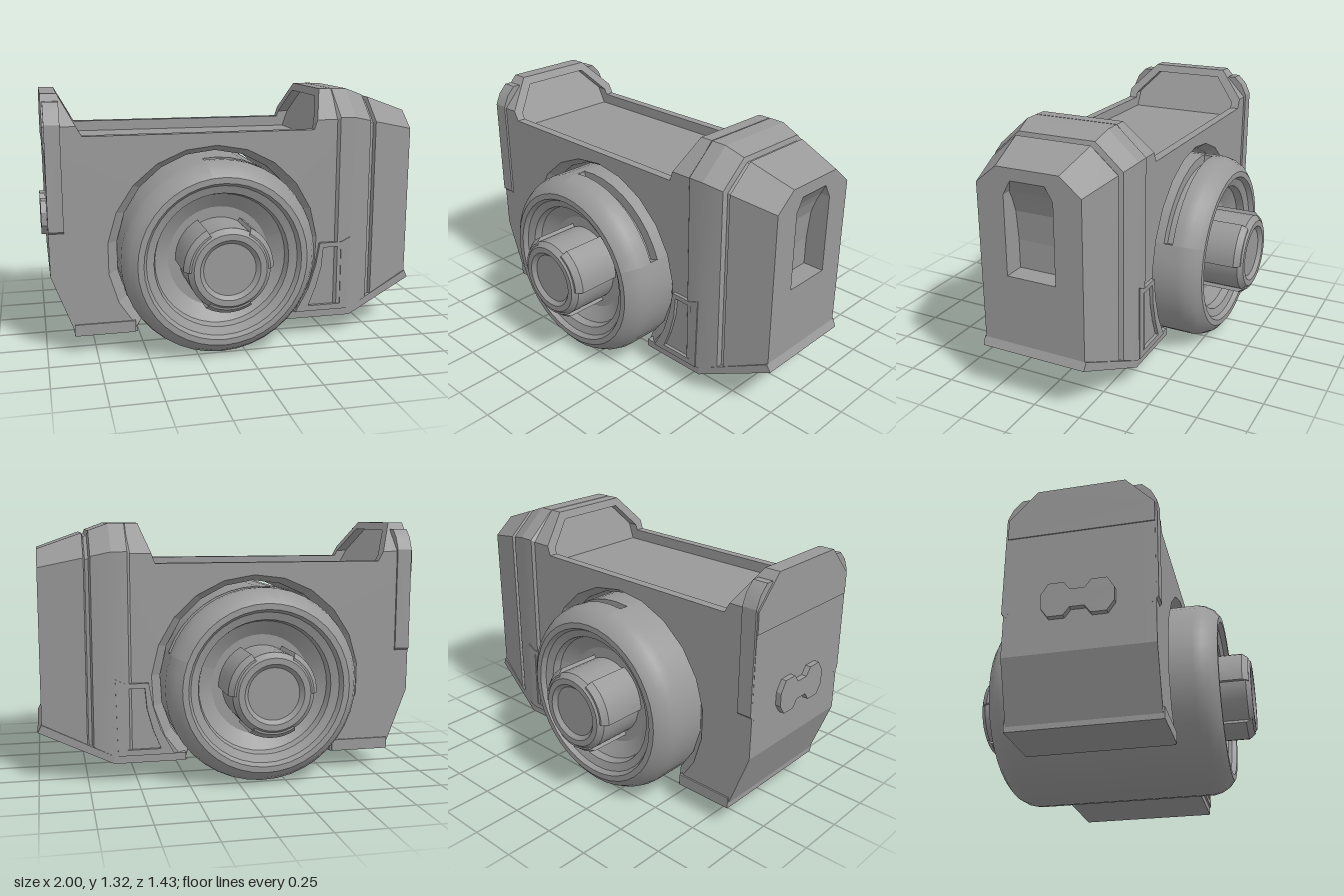
import * as THREE from 'three';
import { toCreasedNormals } from 'three/addons/utils/BufferGeometryUtils.js';

const grey = new THREE.MeshStandardMaterial({ color: 0x999999 });
const greyBoth = new THREE.MeshStandardMaterial({ color: 0x999999, side: THREE.DoubleSide });

const WX = -0.13, WY = 0.5; // wheel axis
const HALF = 0.362; // half width of the body
const FLOOR = 1.065; // tray floor height
const rad = THREE.MathUtils.degToRad;

// Joins 2D contours placed in space by place(u, v, i); holes cut the last cap.
function loft(contours, place, { holes = [], caps = true, crease = 0.4 } = {}) {
  const toV2 = (c) => c.map(([u, v]) => new THREE.Vector2(u, v));
  if (THREE.ShapeUtils.isClockWise(toV2(contours[0]))) contours = contours.map((c) => [...c].reverse());
  const tris = [];
  const last = contours.length - 1, n = contours[0].length;
  const at = (i, j) => place(...contours[i][j % n], i);
  for (let i = 0; i < last; i++) {
    for (let j = 0; j < n; j++) {
      const a = at(i, j), b = at(i, j + 1), c = at(i + 1, j + 1), d = at(i + 1, j);
      tris.push([a, b, c], [a, c, d]);
    }
  }
  if (caps) {
    for (const [a, b, c] of THREE.ShapeUtils.triangulateShape(toV2(contours[0]), [])) tris.push([at(0, a), at(0, c), at(0, b)]);
    const capPts = [contours[last], ...holes].flat().map(([u, v]) => place(u, v, last));
    for (const f of THREE.ShapeUtils.triangulateShape(toV2(contours[last]), holes.map(toV2))) tris.push(f.map((k) => capPts[k]));
  }
  // make the faces point outward
  const [p, q, r] = [0, 1, 2].map(() => new THREE.Vector3());
  let volume = 0;
  for (const t of tris) volume += p.fromArray(t[0]).dot(q.fromArray(t[1]).cross(r.fromArray(t[2])));
  if (volume < 0) tris.forEach((t) => t.reverse());
  const geo = new THREE.BufferGeometry();
  geo.setAttribute('position', new THREE.Float32BufferAttribute(tris.flat(2), 3));
  return toCreasedNormals(geo, crease);
}

// Six-sided section (z, y) with chamfered shoulders
const section = (w, yb, ys, wt, yt) => [[-w, yb], [w, yb], [w, ys], [wt, yt], [-wt, yt], [-w, ys]];

const mirrorZ = (pts) => [...pts, ...pts.map(([z, y]) => [-z, y]).reverse()];

// Side outline (x, y) of the body with the wheel arch cut out
function bodyOutline([radius, lift]) {
  const pts = [[-0.975, FLOOR], [-0.97, 0.42], [-0.85, 0.1], [-0.54, 0.1]];
  for (let i = 0; i <= 16; i++) {
    const a = rad(222 - (267 * i) / 16);
    pts.push([WX + radius * Math.cos(a), WY + radius * Math.sin(a) + lift * Math.max(0, Math.sin(a))]);
  }
  pts.push([0.24, 0.1], [0.56, 0.1], [0.56, FLOOR]);
  return pts;
}

// Nose section at t = 0 (shoulder) to 1 (front face)
function noseSection(t, inset) {
  const mix = (a, b) => a + (b - a) * t;
  return section(mix(0.376, 0.275) - inset, mix(0.14, 0.3), mix(1.18, 1.1) - inset / 2,
    mix(0.22, 0.165) - inset / 2, mix(1.32, 1.19) - inset);
}

// Hub tab outline: an arc of 62 degrees between an inner and an outer radius
function tabOutline(deg, outer) {
  const arc = (r) => Array.from({ length: 8 }, (_, i) => {
    const a = rad(deg - 31 + (62 * i) / 7);
    return [r * Math.cos(a), r * Math.sin(a)];
  });
  return [...arc(outer), ...arc(0.17).reverse()];
}

export function createModel() {
  const model = new THREE.Group();
  const add = (name, geo, parent = model, mat = grey) => {
    const mesh = new THREE.Mesh(geo, mat);
    mesh.name = name;
    parent.add(mesh);
    return mesh;
  };
  const box = (name, x0, x1, y0, y1, z0, z1) => add(name,
    new THREE.BoxGeometry(x1 - x0, y1 - y0, z1 - z0))
    .position.set((x0 + x1) / 2, (y0 + y1) / 2, (z0 + z1) / 2);

  // Body with bevelled wheel arch
  const depths = [-HALF, -0.31, 0.31, HALF];
  const arches = [[0.556, 0], [0.505, 0.02], [0.505, 0.02], [0.556, 0]];
  add('body', loft(arches.map(bodyOutline), (x, y, i) => [x, y, depths[i]], { crease: 0.2 }));

  // Tray rails, and at each end a wall with a raised rim
  for (const s of [-1, 1]) box('trayRail', -0.8, 0.41, FLOOR - 0.005, 1.12, s < 0 ? -HALF : 0.315, s < 0 ? -0.315 : HALF);
  const rim = [[HALF, 1.06], [HALF, 1.17], [0.22, 1.32], [-0.22, 1.32], [-HALF, 1.17], [-HALF, 1.06],
    [-0.315, 1.06], [-0.315, 1.15], [-0.195, 1.28], [0.195, 1.28], [0.315, 1.15], [0.315, 1.06]];
  const wall = section(HALF, 1.06, 1.17, 0.22, 1.32);
  for (const [name, x0, slope, s, outer] of [['rear', -0.79, -0.55, -1, -0.98], ['front', 0.4, 0.35, 1, 0.535]]) {
    const faceX = (y) => x0 + slope * (y - 1.12);
    add(name + 'Wall', loft([wall, wall], (z, y, i) => [i ? outer : faceX(y) + s * 0.055, y, z]));
    add(name + 'WallRim', loft([rim, rim], (z, y, i) => [faceX(y) + s * 0.06 * i, y, z]));
  }

  // Tapering nose with a groove and a window opening
  const rows = [[0.655, 0.13, 0.87], [0.8, 0.13, 0.87], [0.95, 0.13, 0.885], [1.02, 0.13, 0.91], [1.06, 0.13, 0.93], [1.13, 0.09, 0.98]];
  const windowOutline = mirrorZ(rows.map(([y, w]) => [w, y]));
  const stations = [[0.525, 0, 0.016], [0.54, 0, 0], [0.62, 0.01, 0], [0.72, 0.29, 0], [0.728, 0.31, 0.022],
    [0.745, 0.36, 0.022], [0.753, 0.38, 0], [0.98, 1, 0]];
  add('nose', loft(stations.map(([, t, inset]) => noseSection(t, inset)),
    (z, y, i) => [stations[i][0], y, z], { holes: [windowOutline], crease: 0.3 }));

  // Pocket behind the window: side walls and a back curving out to the top edge
  const backX = (y) => rows.find((row) => row[0] === y)[2];
  add('windowWalls', loft([windowOutline, windowOutline],
    (z, y, i) => [i ? backX(y) : 0.98, y, z], { caps: false }), model, greyBoth);
  const back = new THREE.PlaneGeometry(2, 1, 1, rows.length - 1);
  const pos = back.attributes.position;
  for (let k = 0; k < pos.count; k++) {
    const [y, w, x] = rows[rows.length - 1 - Math.floor(k / 2)];
    pos.setXYZ(k, x, y, -pos.getX(k) * w);
  }
  add('windowBack', toCreasedNormals(back, 0.05), model, greyBoth);

  // Skid plates under the body, the front one sloping up to the nose lip
  box('rearSkid', -0.86, -0.55, 0.1, 0.16, -0.37, 0.37);
  box('frontSkid', 0.25, 0.62, 0.1, 0.14, -0.37, 0.37);
  const lip = [[0.62, 0.1], [1, 0.26], [0.98, 0.3], [0.62, 0.14]];
  add('noseLip', loft([lip, lip], (x, y, i) => [x, y, (i ? 1 : -1) * (0.37 - Math.max(0, x - 0.62) * 0.24)]));

  // Fender frames, rear corner brackets and strips on both sides
  const toShape = (pts) => new THREE.Shape(pts.map(([x, y]) => new THREE.Vector2(x, y)));
  const fender = toShape([[0.31, 0.14], [0.6, 0.14], [0.61, 0.54], [0.56, 0.515], [0.44, 0.515], [0.42, 0.4], [0.38, 0.27]]);
  fender.holes.push(toShape([[0.38, 0.17], [0.56, 0.17], [0.56, 0.49], [0.46, 0.49], [0.45, 0.38], [0.42, 0.27]]));
  const fenderGeo = new THREE.ExtrudeGeometry(fender, { depth: 0.022, bevelEnabled: false });
  const bracket = [[0.34, 0.62], [0.373, 0.65], [0.373, 1.18], [0.345, 1.24], [0.3, 1.285], [0.26, 1.285], [0.26, 1.25], [0.34, 1.16]];
  for (const s of [-1, 1]) {
    add('fenderFrame', fenderGeo).position.z = s < 0 ? -0.38 : 0.358;
    add('cornerBracket', loft([bracket, bracket], (z, y, i) => [i ? -0.895 : -0.972, y, z * s]));
  }

  // Waisted boss on the rear face
  const boss = [[0.035, 0.63], [0.065, 0.59], [0.14, 0.59], [0.175, 0.64], [0.175, 0.71], [0.14, 0.765], [0.065, 0.765], [0.035, 0.725]];
  const bossOutline = mirrorZ(boss);
  add('rearBoss', loft([bossOutline, bossOutline], (z, y, i) => [i ? -1 : -0.96, y, z]));

  // Wheel: turned profile (radius, z), with an arc of the tread carrying slots
  const wheel = new THREE.Group();
  wheel.name = 'wheel';
  wheel.position.set(WX, WY, 0);
  model.add(wheel);
  const side = [[0, 0.695], [0.13, 0.695], [0.15, 0.715], [0.18, 0.715], [0.205, 0.69], [0.205, 0.45], [0.26, 0.45],
    [0.335, 0.5], [0.345, 0.54], [0.385, 0.555], [0.4, 0.58], [0.43, 0.58], [0.465, 0.553], [0.49, 0.51], [0.5, 0.47]];
  const slot = [[0.5, 0.432], [0.45, 0.432], [0.45, 0.385], [0.5, 0.385]];
  const turned = (half, startDeg, sweepDeg, segments) => {
    const pts = [...half.map(([r, z]) => [r, -z]), ...[...half].reverse()];
    const geo = new THREE.LatheGeometry(pts.map(([r, z]) => new THREE.Vector2(r, z)), segments,
      rad(startDeg + 90), rad(sweepDeg));
    return toCreasedNormals(geo.rotateX(Math.PI / 2), 0.5);
  };
  add('tyreSlotted', turned([...side, ...slot], 20, 78, 9), wheel);
  add('tyre', turned(side, 98, 282, 31), wheel);

  for (const s of [-1, 1]) {
    // Stops closing the slot ends
    for (const deg of [19, 99]) {
      const a = rad(deg);
      const stop = add('slotStop', new THREE.BoxGeometry(0.05, 0.02, 0.05), wheel);
      stop.position.set(0.472 * Math.cos(a), 0.472 * Math.sin(a), s * 0.408);
      stop.rotation.z = a;
    }
    // Raised tabs round the hub
    const levels = [0.45, 0.675, 0.705];
    for (const deg of [30, 150, 270]) {
      add('hubTab', loft([0.224, 0.224, 0.2].map((r) => tabOutline(deg, r)), (x, y, i) => [x, y, s * levels[i]]), wheel);
    }
  }
  return model;
}
